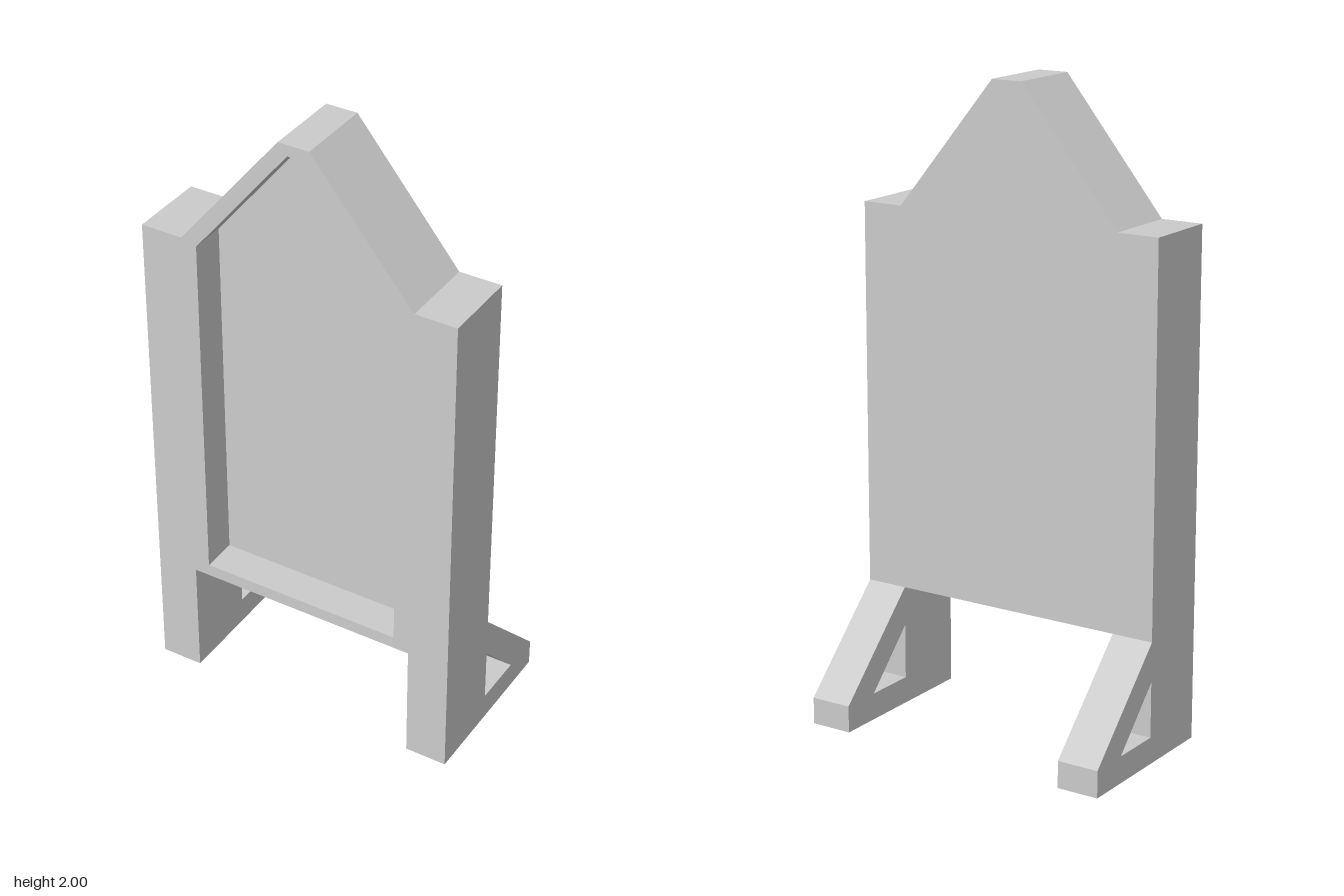
import * as THREE from 'three';

const BACK = 0.025, FRONT = 0.275, RECESS = 0.115;
const POST_IN = 0.38, POST_OUT = 0.515;

const material = new THREE.MeshStandardMaterial({ color: 0xcccccc, flatShading: true });

const points = (list) => list.map(([x, y]) => new THREE.Vector2(x, y));

// Mirrors the right half of an outline (bottom to top) into a closed loop
const symmetric = (half) =>
  points([...half, ...half.map(([x, y]) => [-x, y]).reverse()]);

function extrude(name, outline, depth, hole) {
  const shape = new THREE.Shape(outline);
  if (hole) shape.holes.push(new THREE.Path(hole));
  const geometry = new THREE.ExtrudeGeometry(shape, { depth, bevelEnabled: false });
  const mesh = new THREE.Mesh(geometry, material);
  mesh.name = name;
  return mesh;
}

export function createModel() {
  const model = new THREE.Group();
  model.name = 'gabledPanelStand';

  // Frame: two posts, a bottom rail and a gabled top around an opening
  const outline = symmetric([
    [POST_IN, 0.385], [POST_IN, 0], [POST_OUT, 0], [POST_OUT, 1.595],
    [POST_IN, 1.595], [0.05, 2],
  ]);
  const opening = symmetric([[0.33, 0.425], [0.33, 1.58], [0.02, 1.965]]);
  const frame = extrude('frame', outline, FRONT - BACK, opening);
  frame.position.z = BACK;
  model.add(frame);

  // Recessed panel closing the opening, flush with the back
  const panel = extrude('recessedPanel', opening, FRONT - BACK - RECESS);
  panel.position.z = BACK;
  model.add(panel);

  // Rear feet with a triangular cut-out; profile x runs towards the back
  const foot = points([[0, 0], [0.3, 0], [0.3, 0.085], [0, 0.385]]);
  const cutout = points([[0, 0.085], [0.17, 0.085], [0, 0.26]]);
  // The cut-out reaches the post, so the foot is one notched outline
  const profile = [foot[0], foot[1], foot[2], foot[3], cutout[2], cutout[1], cutout[0]];
  for (const [name, x] of [['leftFoot', POST_IN], ['rightFoot', -POST_OUT]]) {
    const brace = extrude(name, profile, POST_OUT - POST_IN);
    brace.geometry.rotateY(Math.PI / 2);
    brace.position.set(x, 0, BACK);
    model.add(brace);
  }

  return model;
}
